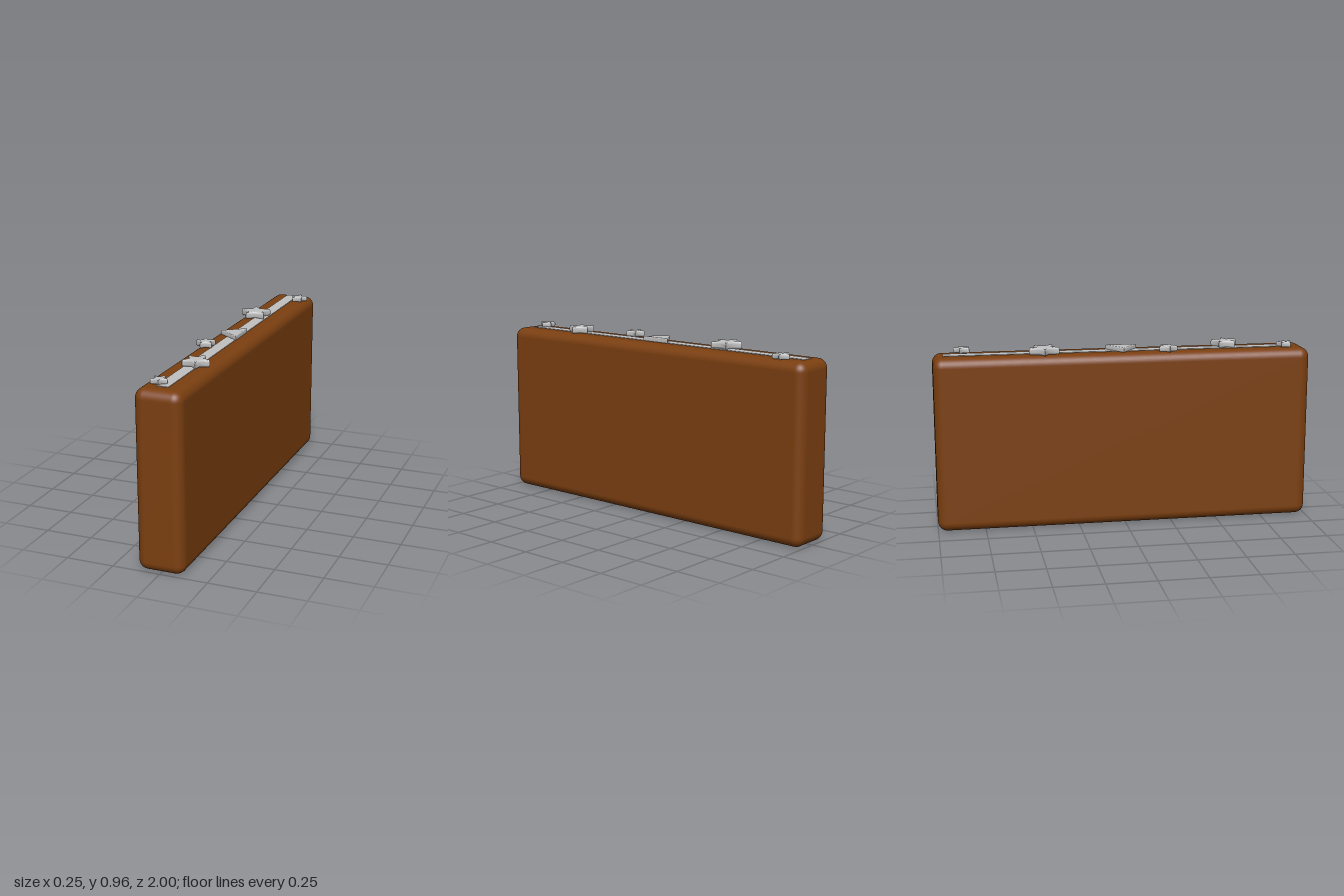
import * as THREE from 'three';
import { RoundedBoxGeometry } from 'three/addons/geometries/RoundedBoxGeometry.js';
import { mergeVertices } from 'three/addons/utils/BufferGeometryUtils.js';

const BODY_TOP = 0.925;

// Star outline with slightly blunted tips
function starShape(radius, tipAngle) {
  const at = (i, r) => new THREE.Vector2(
    Math.cos(tipAngle + i * Math.PI / 5) * r, Math.sin(tipAngle + i * Math.PI / 5) * r);
  const shape = new THREE.Shape();
  const first = at(-1, radius * 0.52);
  shape.moveTo(first.x, first.y);
  for (let i = 0; i < 10; i += 2) {
    const inner = at(i - 1, radius * 0.52), next = at(i + 1, radius * 0.52);
    const tip = at(i, radius * 1.06);
    const a = inner.clone().lerp(tip, 0.8), b = next.clone().lerp(tip, 0.8);
    shape.lineTo(a.x, a.y);
    shape.quadraticCurveTo(tip.x, tip.y, b.x, b.y);
    shape.lineTo(next.x, next.y);
  }
  return shape;
}

// Bevelled plate lying flat, base at y = 0
function flatPlate(shape, height, bevel, smooth) {
  let geo = new THREE.ExtrudeGeometry(shape, {
    depth: height - 2 * bevel, bevelEnabled: true, bevelThickness: bevel,
    bevelSize: bevel, bevelOffset: -bevel, bevelSegments: 3, curveSegments: 4,
  });
  geo.translate(0, 0, bevel);
  geo.rotateX(-Math.PI / 2);
  if (smooth) {
    geo.deleteAttribute('uv');
    geo.deleteAttribute('normal');
    geo = mergeVertices(geo, 1e-5);
    geo.computeVertexNormals();
  }
  return geo;
}

export function createModel() {
  const group = new THREE.Group();
  const brown = new THREE.MeshStandardMaterial({ color: 0x7b3f10 });
  brown.name = 'brown';
  const silver = new THREE.MeshStandardMaterial({ color: 0xc0c0c0 });
  silver.name = 'silver';

  const add = (name, geometry, material, x, y, z) => {
    const mesh = new THREE.Mesh(geometry, material);
    mesh.name = name;
    mesh.position.set(x, y, z);
    group.add(mesh);
  };

  // Rounded block
  add('body', new RoundedBoxGeometry(0.245, BODY_TOP, 2, 6, 0.05), brown, 0, BODY_TOP / 2, 0);

  // Long inlay on the top
  add('topStripe', new THREE.BoxGeometry(0.064, 0.006, 1.865), silver, -0.002, BODY_TOP, -0.012);

  // Stars: x, z, radius, height, tip angle in degrees
  const stars = [
    [0.072, -0.842, 0.047, 0.028, 90],
    [-0.04, -0.422, 0.084, 0.038, 106],
    [-0.07, 0.23, 0.052, 0.032, 40],
    [0.016, 0.558, 0.073, 0.038, 0],
    [-0.036, 0.878, 0.044, 0.028, 0],
  ];
  stars.forEach(([x, z, radius, height, angle], i) => {
    const shape = starShape(radius, THREE.MathUtils.degToRad(angle));
    add(`star${i + 1}`, flatPlate(shape, height, height * 0.3, true), silver, x, BODY_TOP, z);
  });

  // Triangle pointing to the right side
  const triangle = new THREE.Shape([[-0.08, 0.005], [0.036, -0.08], [0.036, 0.088]]
    .map(([x, y]) => new THREE.Vector2(x, y)));
  add('triangle', flatPlate(triangle, 0.026, 0.007, false), silver, 0, BODY_TOP, 0);

  return group;
}
